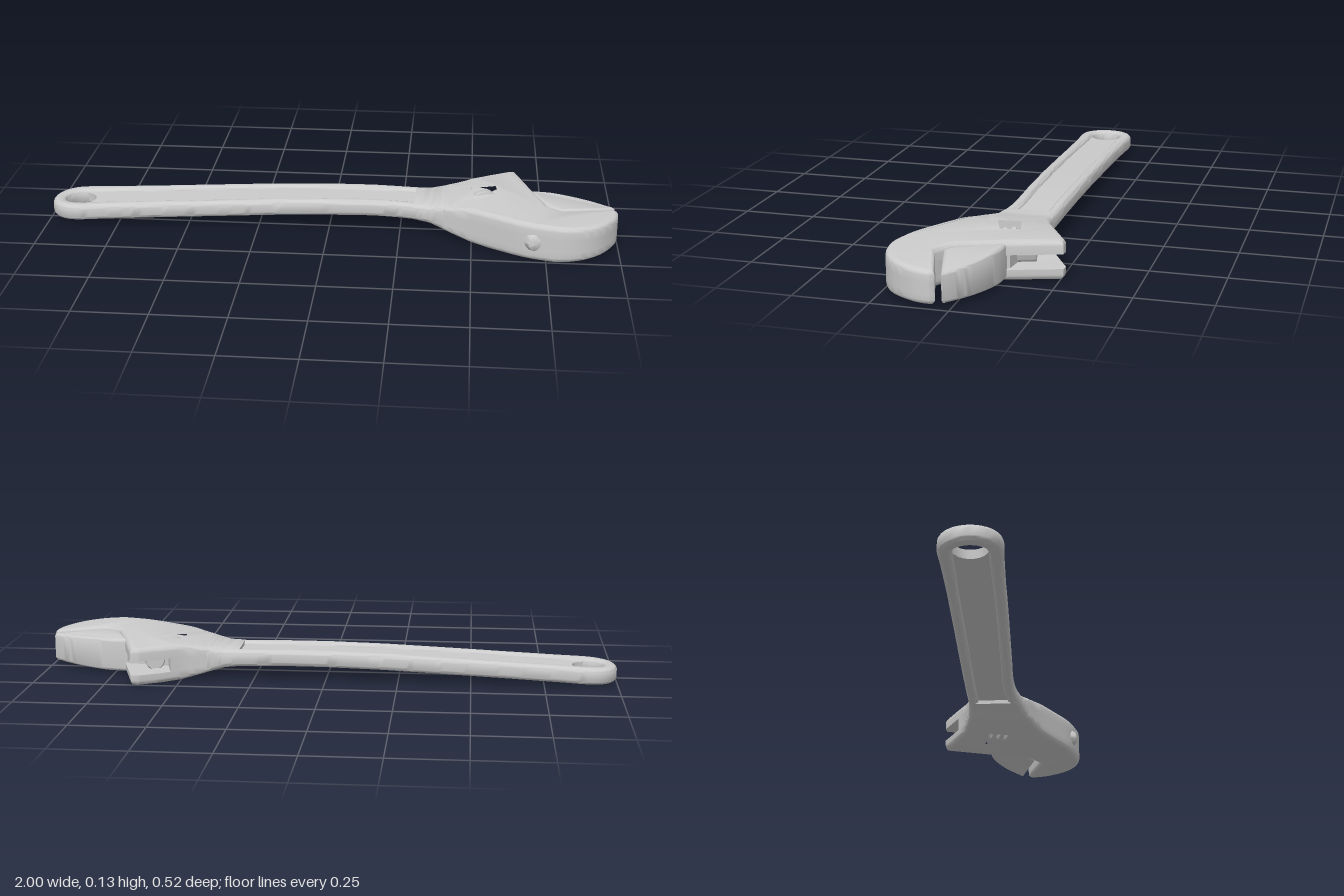
import * as THREE from 'three';
import { toCreasedNormals, mergeVertices } from 'three/addons/utils/BufferGeometryUtils.js';

const material = new THREE.MeshStandardMaterial({ color: 0xcccccc, roughness: 0.6 });

// Piecewise linear lookup through [x, value] pairs
const table = (pairs) => (x) => {
  if (x <= pairs[0][0]) return pairs[0][1];
  for (let i = 1; i < pairs.length; i++) {
    const [x0, v0] = pairs[i - 1], [x1, v1] = pairs[i];
    if (x <= x1) return v0 + ((v1 - v0) * (x - x0)) / (x1 - x0);
  }
  return pairs[pairs.length - 1][1];
};
// Bowed centre height, half thickness and plan edges of the body along x
const midY = table([[-1, 0.036], [-0.5, 0.062], [-0.2, 0.077], [0, 0.083], [0.15, 0.084], [0.3, 0.08], [0.45, 0.072], [0.56, 0.07]]);
const half = table([[0.28, 0.029], [0.35, 0.032], [0.42, 0.047], [0.5, 0.063], [0.56, 0.065], [0.78, 0.065], [1, 0.054]]);
const backZ = table([[0.29, -0.146], [0.36, -0.148], [0.43, -0.158], [0.48, -0.178]]);
const frontZ = table([[0.29, 0.036], [0.36, 0.053], [0.43, 0.085], [0.48, 0.112]]);

function addMesh(group, name, geometry, crease = 0.7) {
  const mesh = new THREE.Mesh(toCreasedNormals(geometry, crease), material);
  mesh.name = name;
  group.add(mesh);
  return mesh;
}

// Closed skin through rings of equal point count, capped at both ends
function loft(rings) {
  const n = rings[0].length, pts = rings.flat(), index = [];
  const quad = (a, b, c, d) => index.push(a, b, c, a, c, d);
  for (let k = 0; k < rings.length - 1; k++)
    for (let i = 0; i < n; i++) {
      const j = (i + 1) % n;
      quad(k * n + i, k * n + j, (k + 1) * n + j, (k + 1) * n + i);
    }
  const last = (rings.length - 1) * n;
  for (let i = 0; i < n / 2 - 1; i++) {
    quad(i, n - 1 - i, n - 2 - i, i + 1);
    quad(last + i, last + i + 1, last + n - 2 - i, last + n - 1 - i);
  }
  // Turn the faces outward
  let volume = 0;
  const cross = new THREE.Vector3();
  for (let i = 0; i < index.length; i += 3)
    volume += pts[index[i]].dot(cross.crossVectors(pts[index[i + 1]], pts[index[i + 2]]));
  if (volume < 0) index.reverse();
  const g = new THREE.BufferGeometry().setFromPoints(pts);
  g.setIndex(index);
  return g;
}

// Rounded rectangle standing upright across the plan direction (nx, nz)
function section(x, y, z, nx, nz, hw, h, r, n = 24) {
  return Array.from({ length: n }, (_, i) => {
    const a = ((i + 0.5) / n) * Math.PI * 2, c = Math.cos(a), s = Math.sin(a);
    const across = Math.sign(c) * (hw - r) + r * c;
    return new THREE.Vector3(x + nx * across, y + Math.sign(s) * (h - r) + r * s, z + nz * across);
  });
}

// Plan shapes use [x, z]; a nested list is a smooth run of points
function planShape(parts) {
  const shape = new THREE.Shape();
  const v = ([x, z]) => new THREE.Vector2(x, -z);
  shape.moveTo(parts[0][0], -parts[0][1]);
  for (const p of parts.slice(1)) {
    if (Array.isArray(p[0])) shape.splineThru(p.map(v));
    else shape.lineTo(p[0], -p[1]);
  }
  return shape;
}

// Upright slab from y0 to y1 with rounded rims
function slab(shape, y0, y1, bevel = 0) {
  const g = new THREE.ExtrudeGeometry(shape, {
    depth: y1 - y0 - 2 * bevel, curveSegments: 4, bevelEnabled: bevel > 0,
    bevelThickness: bevel, bevelSize: bevel, bevelOffset: -bevel, bevelSegments: 4,
  });
  return g.rotateX(-Math.PI / 2).translate(0, y0 + bevel, 0);
}

// Limit heights to a layer, then follow the body's thickness
function fitLayer(g, lo, hi) {
  const p = g.attributes.position;
  for (let i = 0; i < p.count; i++) {
    const x = p.getX(i), y = THREE.MathUtils.clamp(p.getY(i), lo, hi);
    p.setY(i, midY(x) + ((y - 0.07) / 0.065) * half(x));
  }
  g.deleteAttribute('normal');
  g.deleteAttribute('uv');
  return mergeVertices(g);
}

function buildHandle() {
  const handle = new THREE.Group();
  handle.name = 'handle';
  const hx = -0.9, hz = -0.043;

  // Raised rim running down the back, round the hanging hole and up the front
  const path = [[0.36, -0.126], [0.2, -0.129], [0, -0.129], [-0.45, -0.124], [-0.8, -0.12]];
  for (let i = 0; i <= 8; i++) {
    const a = (i / 8) * Math.PI;
    path.push([hx - 0.077 * Math.sin(a), hz - 0.077 * Math.cos(a)]);
  }
  path.push([-0.8, 0.031], [-0.45, 0.024], [0, 0.012], [0.2, 0.008], [0.29, 0.016], [0.36, 0.032]);
  const curve = new THREE.CatmullRomCurve3(path.map(([x, z]) => new THREE.Vector3(x, 0, z)));
  curve.arcLengthDivisions = 800;
  const rings = [];
  for (let i = 0; i <= 170; i++) {
    const p = curve.getPointAt(i / 170), t = curve.getTangentAt(i / 170);
    const hw = table([[-0.9, 0.024], [-0.6, 0.02]])(p.x);
    rings.push(section(p.x, midY(p.x), p.z, -t.z, t.x, hw, 0.029, 0.0185));
  }
  addMesh(handle, 'handleRim', loft(rings), 1);

  // Thin sunken web, cut round at the hanging hole
  const webRings = [];
  for (let k = 0; k <= 40; k++) {
    const rows = [1, -1].map((side) => Array.from({ length: 13 }, (_, i) => {
      const dz = -0.072 + i * 0.012;
      const left = hx + Math.sqrt(Math.max(0, 0.053 ** 2 - dz * dz));
      const x = THREE.MathUtils.lerp(left, 0.33, k / 40);
      const z = hz + dz + table([[-0.9, 0], [0.3, -0.012]])(x);
      return new THREE.Vector3(x, midY(x) + side * 0.016, z);
    }));
    webRings.push([...rows[0], ...rows[1].reverse()]);
  }
  addMesh(handle, 'handleWeb', loft(webRings));

  // Neck swelling toward the head
  const neck = [];
  for (let i = 0; i <= 16; i++) {
    const x = 0.3 + (i / 16) * 0.155, b = backZ(x), f = frontZ(x);
    neck.push(section(x, midY(x), (b + f) / 2, 0, 1, (f - b) / 2, half(x), 0.02));
  }
  addMesh(handle, 'neck', loft(neck));
  return handle;
}

function buildHead() {
  const head = new THREE.Group();
  head.name = 'head';
  const window = [[0.475, -0.093], [0.595, -0.125], [0.61, -0.025], [0.492, 0.02]];
  // Throat, fixed jaw and front edge, shared by every layer
  const jawSide = [[0.76, 0.06], [0.825, 0.1], [0.988, 0.046],
    [[0.998, 0.065], [0.985, 0.125], [0.935, 0.2], [0.87, 0.243], [0.8, 0.256], [0.735, 0.244],
      [0.66, 0.217], [0.55, 0.153], [0.48, 0.112], [0.4, 0.071]]];
  const plate = planShape([[0.4, -0.152],
    [[0.48, -0.178], [0.56, -0.222], [0.63, -0.262]], [0.655, -0.26], [0.71, -0.09], ...jawSide]);
  plate.holes.push(new THREE.Path(window.map(([x, z]) => new THREE.Vector2(x, -z))));
  addMesh(head, 'upperPlate', fitLayer(slab(plate, 0.005, 0.135, 0.018), 0.09, 1));
  addMesh(head, 'lowerPlate', fitLayer(slab(plate, 0.005, 0.135, 0.018), -1, 0.042));

  // Middle layer leaves the slide channel and the worm window open
  const core = planShape([[0.4, -0.152], [[0.48, -0.178], [0.527, -0.203]], [0.553, -0.114],
    window[0], window[3], [0.6, -0.02], [0.615, 0.04], ...jawSide]);
  addMesh(head, 'headCore', fitLayer(slab(core, 0.042, 0.09), 0.042, 0.09));
  return head;
}

// Turned part laid along the slide direction; profile is [radius, distance]
const slide = new THREE.Vector3(0.305, 0, 0.952).normalize();
function turned(group, name, profile, x, z) {
  const g = new THREE.LatheGeometry(profile.map(([r, d]) => new THREE.Vector2(r, d)), 28);
  const mesh = addMesh(group, name, g, 0.6);
  mesh.quaternion.setFromUnitVectors(new THREE.Vector3(0, 1, 0), slide);
  mesh.position.set(x, 0.07, z);
}

function buildMovableJaw() {
  const jaw = new THREE.Group();
  jaw.name = 'movableJaw';
  const plan = planShape([[0.703, -0.092],
    [[0.76, -0.088], [0.83, -0.069], [0.9, -0.039], [0.955, -0.006], [0.99, 0.02]],
    [0.984, 0.027], [0.802, 0.08], [0.755, 0.048]]);
  addMesh(jaw, 'jawBlock', fitLayer(slab(plan, 0.012, 0.128, 0.012), 0, 1));
  const foot = planShape([[0.61, -0.11], [0.695, -0.1], [0.76, 0.05], [0.65, 0.05]]);
  addMesh(jaw, 'jawFoot', slab(foot, 0.044, 0.088));
  // Slide rod with a rounded end showing at the front edge
  turned(jaw, 'slideRod', [[0, -0.165], [0.03, -0.165], [0.034, -0.16], [0.034, 0.235],
    [0.028, 0.25], [0.015, 0.258], [0, 0.26]], 0.64, 0);
  return jaw;
}

function buildWorm() {
  const worm = new THREE.Group();
  worm.name = 'wormScrew';
  // Ridged adjusting screw on its pin
  const ridges = [[0, -0.056], [0.04, -0.056]];
  for (let i = 0; i < 4; i++) {
    const d = -0.042 + i * 0.028;
    ridges.push([0.04, d - 0.011], [0.056, d - 0.007], [0.056, d + 0.007], [0.04, d + 0.011]);
  }
  ridges.push([0.04, 0.056], [0, 0.056]);
  turned(worm, 'wormRidges', ridges, 0.546, -0.055);
  turned(worm, 'wormPin', [[0, -0.09], [0.014, -0.09], [0.014, 0.09], [0, 0.09]], 0.546, -0.055);
  return worm;
}

export function createModel() {
  const model = new THREE.Group();
  model.name = 'adjustableWrench';
  model.add(buildHandle(), buildHead(), buildMovableJaw(), buildWorm());
  return model;
}
